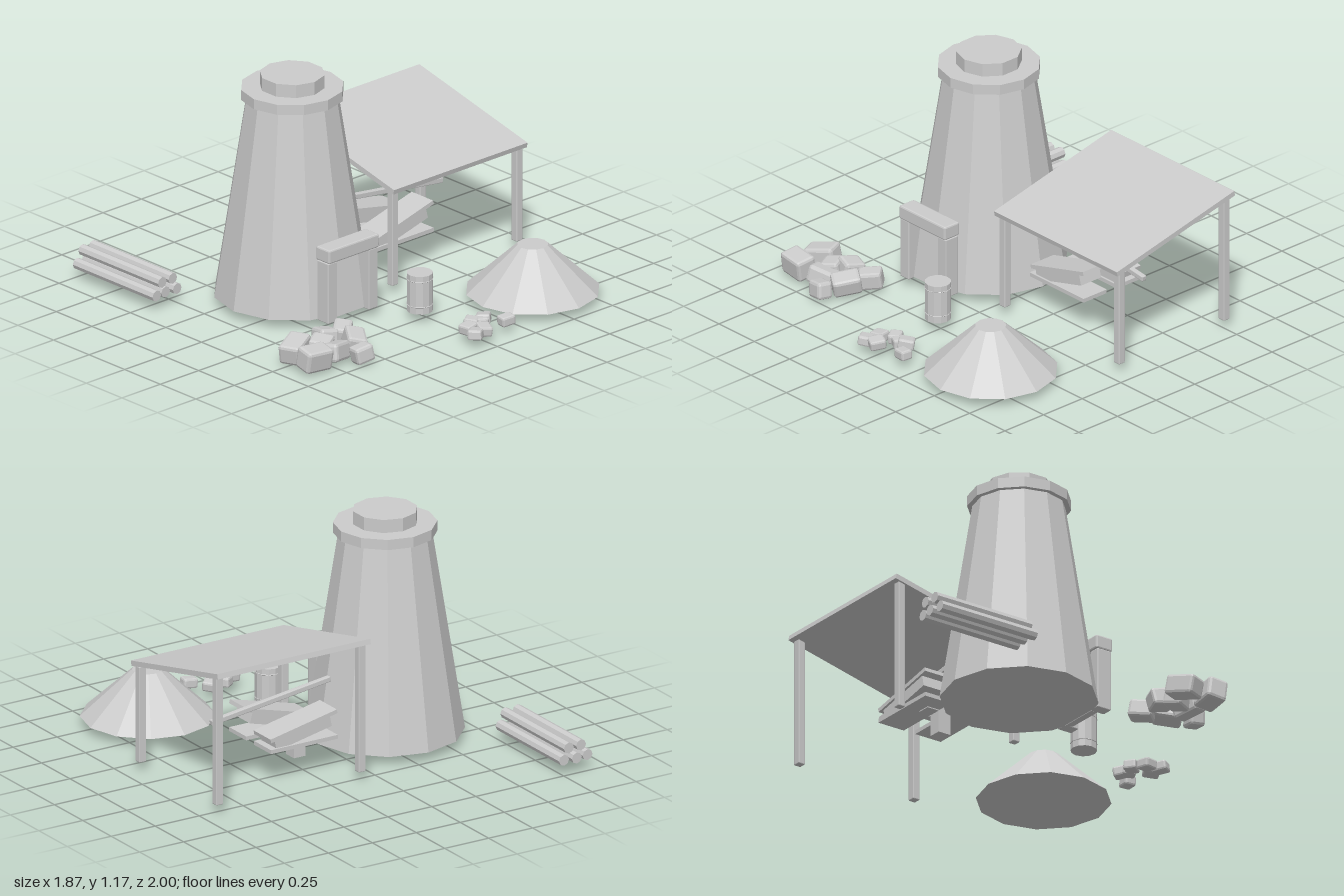
import * as THREE from 'three';
import { RoundedBoxGeometry } from 'three/addons/geometries/RoundedBoxGeometry.js';

export function createModel() {
  const model = new THREE.Group();
  const grey = new THREE.MeshStandardMaterial({ color: 0xcccccc, flatShading: true });
  grey.name = 'plain grey';

  function add(parent, name, geometry, [x, y, z], [rx, ry, rz] = [0, 0, 0]) {
    const mesh = new THREE.Mesh(geometry, grey);
    mesh.name = name;
    mesh.position.set(x, y, z);
    mesh.rotation.set(rx, ry, rz);
    parent.add(mesh);
    return mesh;
  }
  function group(name) {
    const g = new THREE.Group();
    g.name = name;
    model.add(g);
    return g;
  }
  const block = (w, h, d, r = 0.004) => new RoundedBoxGeometry(w, h, d, 1, r);
  const drum = (top, bottom, h, sides) => new THREE.CylinderGeometry(top, bottom, h, sides);

  // Tapered kiln tower with rim and chimney cap
  const kiln = group('kiln');
  add(kiln, 'tower', drum(0.225, 0.382, 1.01, 12), [-0.316, 0.555, -0.1]);
  add(kiln, 'rim', drum(0.25, 0.25, 0.052, 12), [-0.316, 1.084, -0.1]);
  add(kiln, 'cap', drum(0.158, 0.158, 0.067, 10), [-0.316, 1.143, -0.1]);

  // Doorway on the front of the kiln
  const doorway = group('doorway');
  for (const s of [-1, 1]) {
    add(doorway, 'doorPillar', block(0.06, 0.31, 0.08), [-0.315 + s * 0.132, 0.205, 0.287]);
  }
  add(doorway, 'lintel', block(0.325, 0.07, 0.095, 0.008), [-0.315, 0.395, 0.287]);
  add(doorway, 'door', new THREE.BoxGeometry(0.21, 0.265, 0.045), [-0.315, 0.182, 0.25], [-0.16, 0, 0]);

  // Lean-to shelter
  const shelter = group('shelter');
  add(shelter, 'roof', new THREE.BoxGeometry(0.87, 0.026, 0.78), [0.494, 0.632, -0.172], [0.226, 0, 0]);
  for (const x of [0.09, 0.9]) {
    add(shelter, 'frontPost', block(0.04, 0.49, 0.038), [x, 0.295, 0.168]);
    add(shelter, 'backPost', block(0.04, 0.655, 0.038), [x, 0.3775, -0.51]);
  }

  // Pair of bellows, one raised and one lowered, with their lever
  const bellows = group('bellows');
  for (const [z, tilt] of [[-0.05, 0.26], [-0.268, -0.2]]) {
    add(bellows, 'bottomBoard', new THREE.BoxGeometry(0.38, 0.02, 0.15), [0.3, 0.175, z]);
    add(bellows, 'airBag', new THREE.BoxGeometry(0.32, 0.055, 0.13), [0.3, 0.228, z], [0, 0, tilt]);
    add(bellows, 'topBoard', new THREE.BoxGeometry(0.385, 0.02, 0.15), [0.302, 0.268, z], [0, 0, tilt]);
  }
  add(bellows, 'stand', new THREE.BoxGeometry(0.065, 0.115, 0.07), [0.233, 0.1075, -0.163]);
  add(bellows, 'crossBeam', new THREE.BoxGeometry(0.065, 0.02, 0.2), [0.233, 0.17, -0.163]);
  add(bellows, 'lever', block(0.68, 0.027, 0.027), [0.378, 0.358, -0.163], [0, 0, -0.13]);

  // Heap of sand
  add(model, 'sandHeap', drum(0.075, 0.326, 0.235, 12), [0.537, 0.1675, 0.669]);

  // Barrel with two hoops
  const barrel = group('barrel');
  add(barrel, 'barrelBody', drum(0.064, 0.064, 0.195, 12), [-0.032, 0.1475, 0.49]);
  for (const y of [0.085, 0.215]) {
    add(barrel, 'hoop', new THREE.TorusGeometry(0.061, 0.005, 4, 12), [-0.032, y, 0.49], [Math.PI / 2, 0, 0]);
  }

  // Stack of logs
  const logs = group('logStack');
  const logPlaces = [[-0.892, 0.083, -0.71], [-0.825, 0.083, -0.72], [-0.757, 0.083, -0.712],
    [-0.853, 0.142, -0.713], [-0.782, 0.142, -0.716]];
  logPlaces.forEach(([x, y, z]) => {
    add(logs, 'log', drum(0.028, 0.028, 0.56, 8), [x, y, z], [Math.PI / 2, 0, 0]);
  });

  // Rough stones: x, y, z, width, height, depth, turn
  const stones = [
    [-0.845, 0.08, 0.49, 0.155, 0.1, 0.11, 0.4],
    [-0.855, 0.08, 0.64, 0.15, 0.11, 0.105, -0.12],
    [-0.65, 0.085, 0.49, 0.1, 0.09, 0.11, -0.25],
    [-0.525, 0.07, 0.475, 0.12, 0.09, 0.09, 0.7],
    [-0.72, 0.075, 0.54, 0.1, 0.09, 0.11, 0.45],
    [-0.7, 0.065, 0.62, 0.14, 0.09, 0.09, 0.35],
    [-0.56, 0.075, 0.6, 0.1, 0.09, 0.14, -0.6],
    [-0.617, 0.06, 0.715, 0.1, 0.085, 0.08, -0.2]];
  const lumps = [
    [-0.05, 0.07, 0.85, 0.075, 0.05, 0.07, 0.15],
    [0.013, 0.07, 0.805, 0.065, 0.05, 0.07, 0.6],
    [0.09, 0.07, 0.805, 0.08, 0.05, 0.07, 0.75],
    [0.06, 0.068, 0.825, 0.06, 0.05, 0.065, -0.5],
    [0.16, 0.067, 0.89, 0.075, 0.05, 0.06, -0.15],
    [-0.066, 0.067, 0.92, 0.075, 0.05, 0.07, 0.6],
    [-0.005, 0.07, 0.91, 0.07, 0.05, 0.08, -0.45]];
  function pile(name, part, list, bevel, lean) {
    const g = group(name);
    list.forEach(([x, y, z, w, h, d, turn], i) => {
      add(g, part, block(w, h, d, bevel), [x, y, z],
        [lean * Math.sin(i * 2.3), turn, lean * Math.cos(i * 1.7)]);
    });
  }
  pile('stonePile', 'stone', stones, 0.015, 0.2);
  pile('orePile', 'oreLump', lumps, 0.01, 0.1);

  return model;
}
